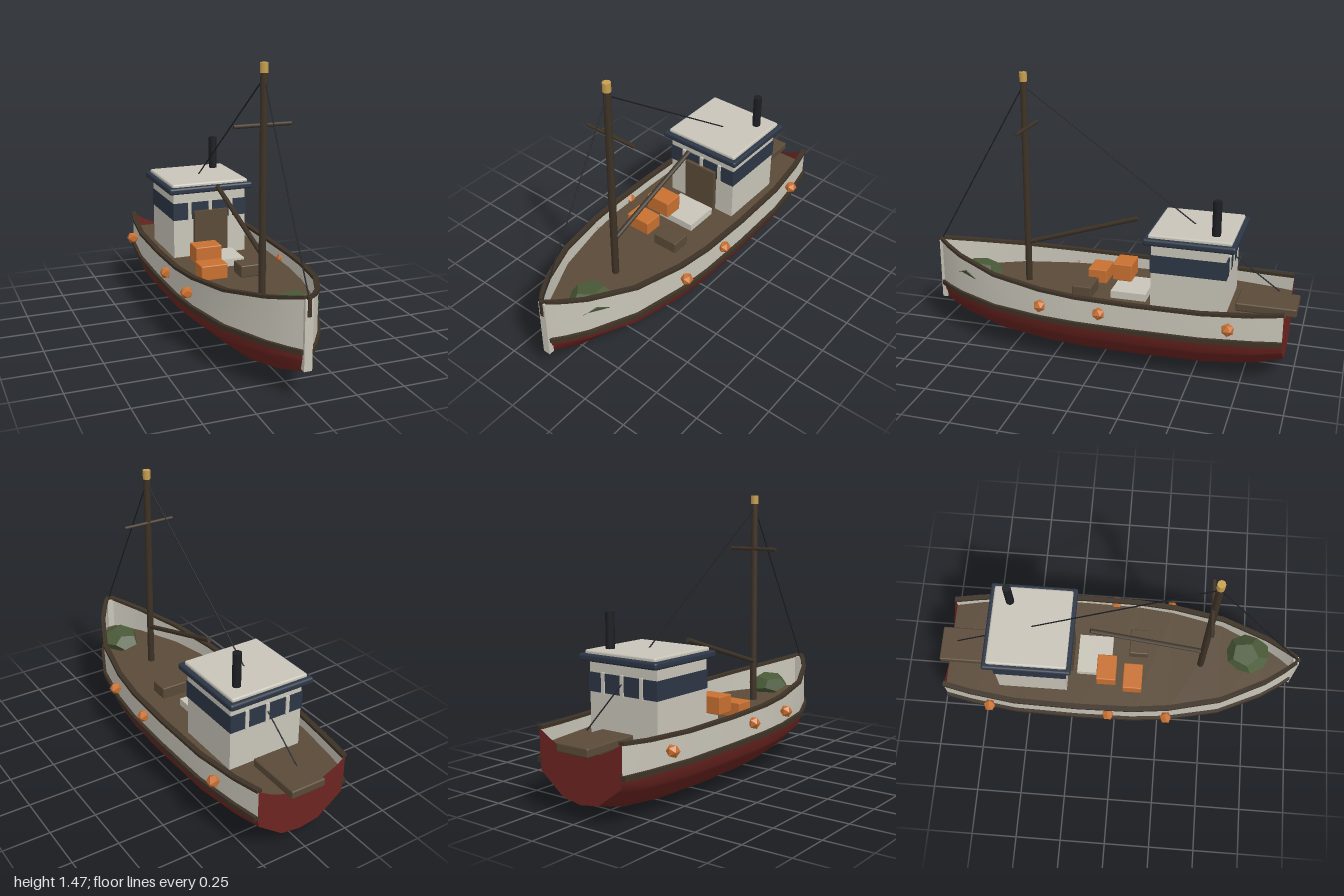
import * as THREE from 'three';
import { toCreasedNormals } from 'three/addons/utils/BufferGeometryUtils.js';
import { RoundedBoxGeometry } from 'three/addons/geometries/RoundedBoxGeometry.js';

const mat = (color, extra = {}) => new THREE.MeshStandardMaterial({ color, ...extra });
const C = {
  red: 0x6b2420, white: 0xc8c4b8, wood: 0x3d3226, deck: 0x5a4a38, navy: 0x2c3646,
  orange: 0xc87030, gold: 0xc8a050, green: 0x4a5a38, black: 0x1c1e22,
};

// Hull stations: z, half width, keel height, sheer height
const stations = [
  [-0.95, 0.255, 0.08, 0.405], [-0.8, 0.285, 0.035, 0.395], [-0.55, 0.318, 0.01, 0.39],
  [-0.2, 0.325, 0.002, 0.39], [0.1, 0.32, 0.002, 0.395], [0.3, 0.3, 0.01, 0.405],
  [0.58, 0.24, 0.035, 0.43], [0.82, 0.13, 0.09, 0.468], [0.92, 0.065, 0.13, 0.49],
  [0.985, 0.014, 0.16, 0.507],
];
const WATER = 0.25, DECK = 0.32;

// Half section of the bottom: fraction of width, fraction of keel-to-waterline height
const bilge = [[0, 0], [0.43, 0.1], [0.85, 0.57], [0.97, 0.7], [1, 1]];
const bottomRing = ([z, w, k]) => {
  const half = bilge.map(([fx, fy]) => [fx * w, k + fy * (WATER - k), z]);
  return [...half.slice(1).reverse().map(([x, y]) => [-x, y, z]), ...half];
};

// Skin between rows of points; closed rows also get end caps
function loft(rings, closed = false) {
  const n = rings[0].length, index = [];
  for (let i = 0; i < rings.length - 1; i++) {
    for (let j = 0; j < (closed ? n : n - 1); j++) {
      const a = i * n + j, b = i * n + (j + 1) % n;
      index.push(a, b, b + n, a, b + n, a + n);
    }
  }
  if (closed) {
    const e = (rings.length - 1) * n;
    for (let j = 1; j < n - 1; j++) index.push(0, j + 1, j, e, e + j, e + j + 1);
  }
  const g = new THREE.BufferGeometry();
  g.setAttribute('position', new THREE.Float32BufferAttribute(rings.flat(2), 3));
  g.setIndex(index);
  g.computeVertexNormals();
  return g;
}

export function createModel() {
  const model = new THREE.Group();
  model.name = 'fishingBoat';
  const add = (name, geo, color, pos = [0, 0, 0], extra) => {
    const m = new THREE.Mesh(geo, mat(color, extra));
    m.name = name;
    m.position.set(...pos);
    model.add(m);
    return m;
  };
  const both = { side: THREE.DoubleSide };
  // Box given by its extents
  const box = (name, color, x0, x1, y0, y1, z0, z1, r = 0) => {
    const s = [x1 - x0, y1 - y0, z1 - z0];
    const g = r ? new RoundedBoxGeometry(...s, 2, r) : new THREE.BoxGeometry(...s);
    return add(name, g, color, [(x0 + x1) / 2, (y0 + y1) / 2, (z0 + z1) / 2]);
  };
  // Round bar between two points
  const bar = (name, color, a, b, r, sides = 8) => {
    const p = new THREE.Vector3(...a), q = new THREE.Vector3(...b), d = q.clone().sub(p);
    const m = add(name, new THREE.CylinderGeometry(r, r, d.length(), sides), color);
    m.position.copy(p).add(q).multiplyScalar(0.5);
    m.quaternion.setFromUnitVectors(new THREE.Vector3(0, 1, 0), d.normalize());
    return m;
  };

  // Hull bottom and deck
  add('hullBottom', loft(stations.map(bottomRing)), C.red, [0, 0, 0], both);
  const deckRings = stations.map(([z, w]) => [[-w + 0.003, DECK, z], [w - 0.003, DECK, z]]);
  add('deck', loft(deckRings), C.deck, [0, 0, 0], both);

  // Transom with a hollowed top edge
  const [sz, sw, , sy] = stations[0];
  const transom = new THREE.Shape();
  transom.moveTo(-sw, sy);
  bottomRing(stations[0]).forEach(([x, y]) => transom.lineTo(x, y));
  transom.lineTo(sw, sy);
  transom.quadraticCurveTo(0, 0.225, -sw, sy);
  add('transom', new THREE.ShapeGeometry(transom, 8), C.red, [0, 0, sz], both);

  // Topsides, rub rail and cap rail on each side
  for (const s of [-1, 1]) {
    const rail = (inner, outer, low, high) => toCreasedNormals(loft(stations.map((st) => {
      const [z, w] = st, xi = s * Math.max(w - inner, 0), xo = s * (w + outer);
      const y0 = low(st), y1 = high(st);
      const ring = [[xi, y0, z], [xo, y0, z], [xo, y1, z], [xi, y1, z]];
      return s > 0 ? ring : ring.reverse();
    }), true), 0.6);
    add('topside', loft(stations.map(([z, w, , y]) => [[s * w, WATER, z], [s * w, y, z]])),
      C.white, [0, 0, 0], both);
    add('rubRail', rail(0.01, 0.018, () => 0.238, () => 0.262), C.wood, [0, 0, 0], both);
    add('capRail', rail(0.018, 0.01, (t) => t[3] - 0.006, (t) => t[3] + 0.01), C.wood, [0, 0, 0], both);
    // Round fenders
    for (const [z, x] of [[0.29, 0.33], [-0.03, 0.335], [-0.69, 0.332]]) {
      add('fender', new THREE.IcosahedronGeometry(0.034, 0), C.orange, [s * x, 0.33, z], { flatShading: true });
    }
  }

  // Stem
  box('stemPost', C.white, -0.02, 0.02, 0.16, 0.5, 0.965, 0.995);
  box('stemFitting', C.wood, -0.009, 0.009, 0.42, 0.515, 0.975, 1.0);

  // Wheelhouse
  box('cabinWalls', C.white, -0.21, 0.21, DECK - 0.01, 0.7, -0.65, -0.27);
  box('windowBand', C.navy, -0.213, 0.213, 0.535, 0.63, -0.656, -0.264);
  for (const x of [-0.12, 0, 0.12]) {
    for (const z of [-0.264, -0.656]) box('windowPost', C.white, x - 0.01, x + 0.01, 0.53, 0.635, z - 0.006, z + 0.006);
  }
  box('cabinDoor', C.deck, -0.097, 0.097, DECK, 0.582, -0.27, -0.245);
  box('roofRim', C.navy, -0.243, 0.243, 0.688, 0.724, -0.7, -0.23, 0.012);
  box('roofTop', C.white, -0.22, 0.22, 0.705, 0.741, -0.677, -0.253, 0.01);
  bar('exhaustStack', C.black, [0.135, 0.73, -0.585], [0.135, 0.922, -0.585], 0.023, 10);

  // Mast, boom and rigging
  bar('mast', C.wood, [0, DECK, 0.47], [0, 1.43, 0.47], 0.019);
  bar('mastCap', C.gold, [0, 1.427, 0.47], [0, 1.475, 0.47], 0.021);
  bar('crosstree', C.wood, [-0.147, 1.18, 0.46], [0.147, 1.18, 0.46], 0.01);
  bar('boom', C.wood, [0, 0.545, 0.46], [0, 0.74, -0.145], 0.013);
  bar('foreStay', C.black, [0, 1.4, 0.475], [0, 0.51, 0.985], 0.0035, 5);
  bar('backStay', C.black, [0, 1.4, 0.465], [0, 0.42, -0.9], 0.0035, 5);

  // Deck gear
  box('hatch', C.white, -0.11, 0.11, DECK, 0.36, -0.22, -0.03);
  box('crate', C.orange, -0.175, -0.03, 0.36, 0.455, -0.107, 0, 0.006);
  box('crate', C.orange, -0.197, -0.052, DECK, 0.4, 0.04, 0.146, 0.006);
  box('woodCrate', C.deck, 0.012, 0.157, DECK, 0.385, 0.065, 0.17, 0.006);
  box('sternPlatform', C.deck, -0.098, 0.098, 0.325, 0.37, -1.0, -0.69, 0.008);

  // Heaped net near the bow
  const net = new THREE.DodecahedronGeometry(1, 0).rotateY(0.5).rotateX(0.3).scale(0.115, 0.065, 0.125);
  add('netHeap', net, C.green, [0.066, 0.365, 0.73], { flatShading: true });
  return model;
}
